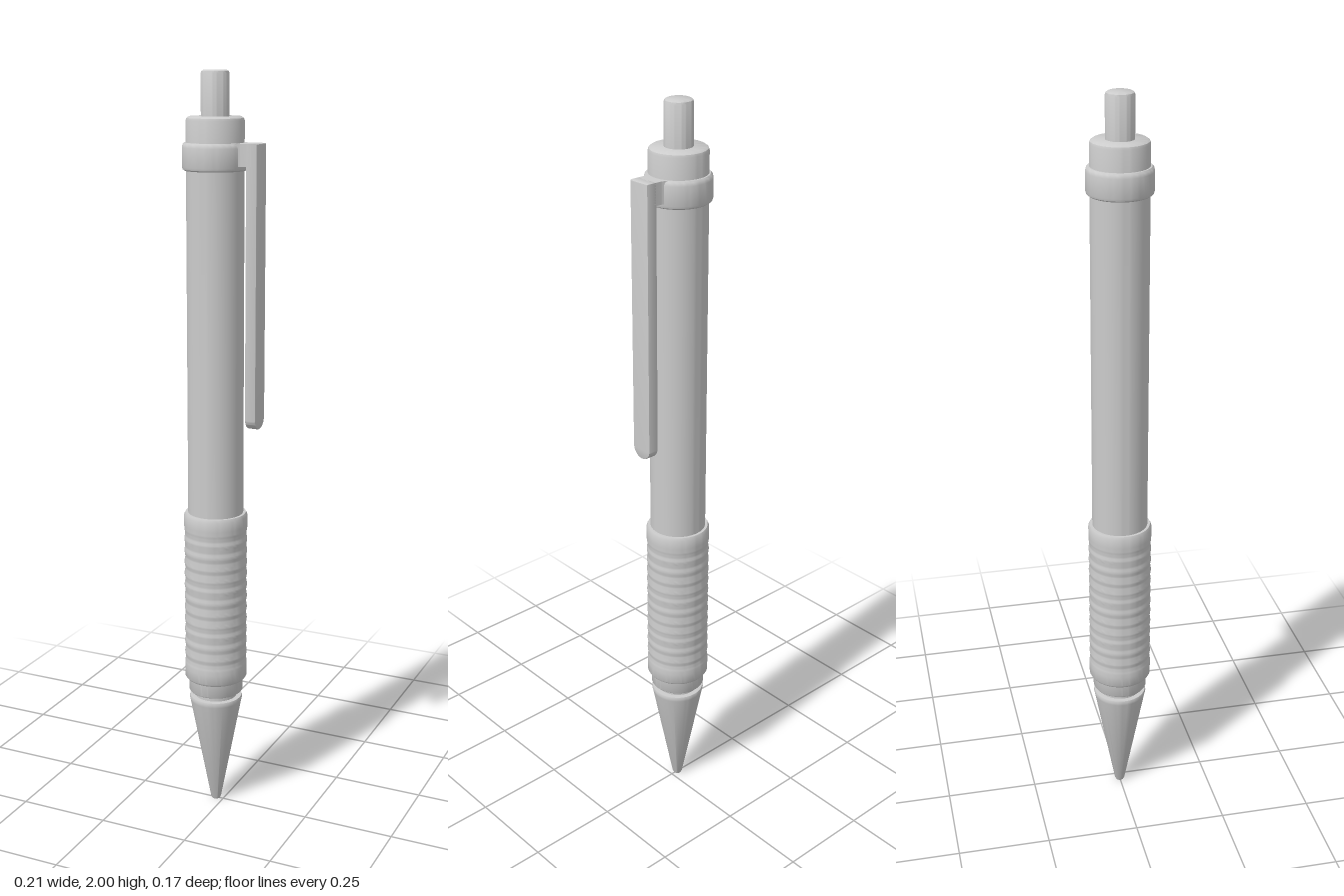
import * as THREE from 'three';
import { toCreasedNormals } from 'three/addons/utils/BufferGeometryUtils.js';

const AXIS_X = -0.022;

export function createModel() {
  const model = new THREE.Group();
  const material = new THREE.MeshStandardMaterial({ color: 0xcccccc });

  const add = (name, geometry, crease = 0.6) => {
    const mesh = new THREE.Mesh(toCreasedNormals(geometry, crease), material);
    mesh.name = name;
    model.add(mesh);
    return mesh;
  };

  // Turned part; the profile is [radius, y] from bottom to top
  const turn = (name, profile) => {
    const points = profile.map(([r, y]) => new THREE.Vector2(r, y));
    add(name, new THREE.LatheGeometry(points, 64)).position.x = AXIS_X;
  };

  // Writing end: cone, neck groove and threaded collar
  turn('tipCone', [[0, 0], [0.011, 0], [0.014, 0.006], [0.071, 0.308], [0.073, 0.316], [0.071, 0.322], [0, 0.325]]);
  turn('neck', [[0.058, 0.315], [0.058, 0.345]]);
  turn('lowerCollar', [[0, 0.338], [0.072, 0.338], [0.074, 0.341], [0.074, 0.39]]);

  // Barrel
  turn('barrel', [[0.074, 0.38], [0.074, 1.77]]);

  // Ribbed grip sleeve
  const grip = [[0.07, 0.377], [0.081, 0.377], [0.085, 0.383], [0.085, 0.41]];
  const ribs = 12, steps = 6, ribBottom = 0.42, ribTop = 0.81;
  for (let i = 0; i <= ribs * steps; i++) {
    const t = i / (ribs * steps);
    const dip = 0.0012 * (1 - Math.cos(t * ribs * Math.PI * 2));
    grip.push([0.085 - dip, ribBottom + t * (ribTop - ribBottom)]);
  }
  grip.push([0.085, 0.82], [0.085, 0.846], [0.081, 0.854], [0.07, 0.854]);
  turn('grip', grip);

  // Top cap and push button
  turn('topCap', [[0.074, 1.76], [0.074, 1.878], [0.072, 1.884], [0.066, 1.888], [0, 1.888]]);
  turn('pushButton', [[0.036, 1.87], [0.036, 1.992], [0.034, 1.997], [0.029, 2], [0, 2]]);

  // Clip ring around the barrel
  turn('clipRing', [[0.07, 1.755], [0.078, 1.755], [0.082, 1.758], [0.084, 1.764],
    [0.084, 1.812], [0.082, 1.82], [0.078, 1.824], [0.07, 1.824]]);

  // Bridge from ring to clip, flared where it meets the ring
  const plan = new THREE.Shape();
  plan.moveTo(0.03, -0.052);
  plan.quadraticCurveTo(0.05, -0.031, 0.066, -0.031);
  plan.lineTo(0.09, -0.031);
  plan.lineTo(0.09, 0.031);
  plan.lineTo(0.066, 0.031);
  plan.quadraticCurveTo(0.05, 0.031, 0.03, 0.052);
  plan.closePath();
  const bridge = new THREE.ExtrudeGeometry(plan, { depth: 0.056, bevelEnabled: false, curveSegments: 8 });
  bridge.rotateX(-Math.PI / 2);
  bridge.translate(0, 1.768, 0);
  add('clipBridge', bridge);

  // Flat clip arm with a rounded lower end
  const w = 0.028, top = 1.821, bottom = 1.098, bevel = 0.003;
  const arm = new THREE.Shape();
  arm.moveTo(w, top);
  arm.lineTo(-w, top);
  arm.lineTo(-w, bottom + w);
  arm.absarc(0, bottom + w, w, Math.PI, Math.PI * 2, false);
  arm.closePath();
  const clip = new THREE.ExtrudeGeometry(arm, {
    depth: 0.024, bevelThickness: bevel, bevelSize: bevel, bevelSegments: 2, curveSegments: 20,
  });
  clip.rotateY(Math.PI / 2);
  clip.translate(0.078, 0, 0);
  add('clipArm', clip);

  return model;
}
